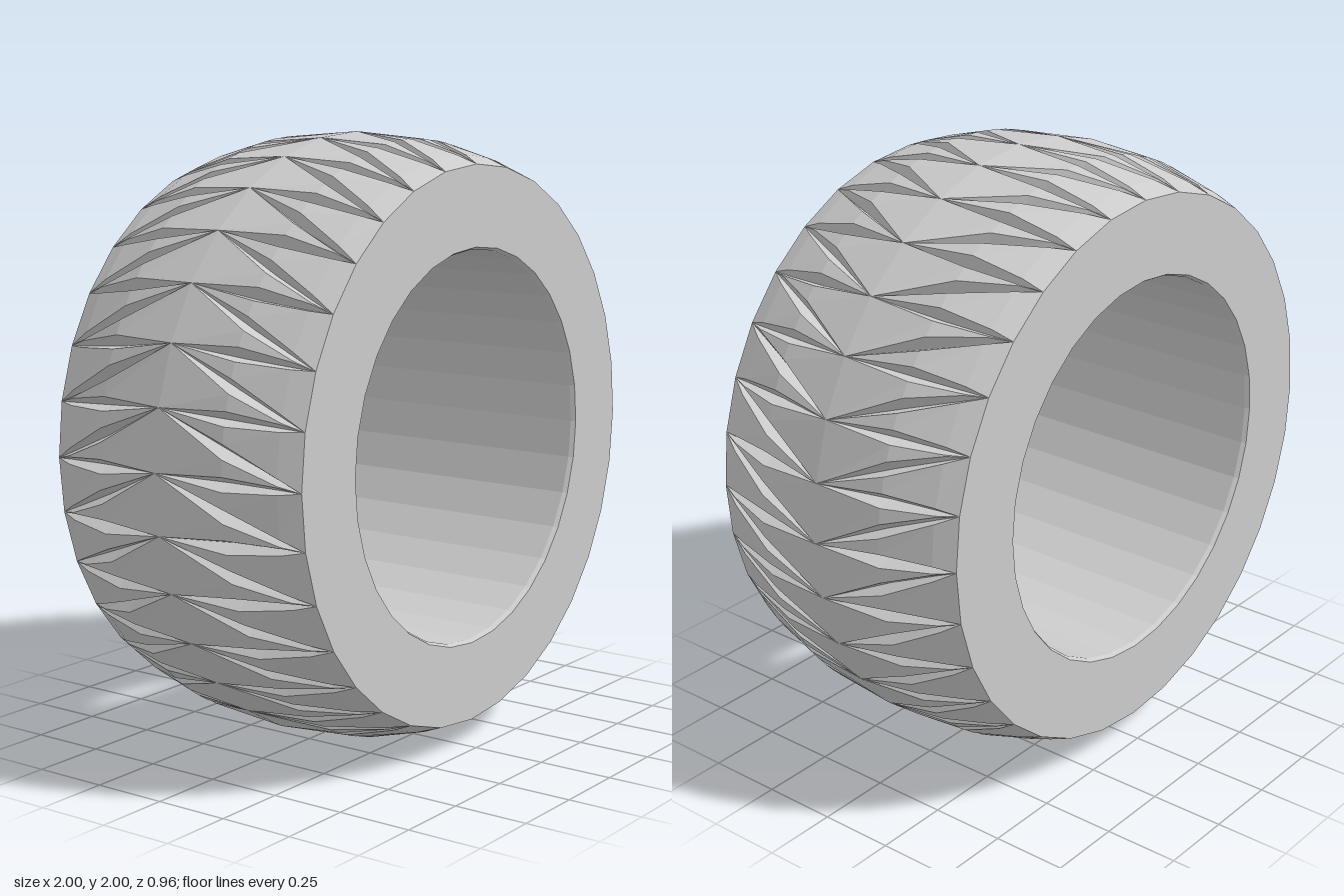
import * as THREE from 'three';

const SECTORS = 32;
const STEP = (Math.PI * 2) / SECTORS;
const HALF_WIDTH = 0.48;
const EDGE_RADIUS = 0.907;
const SKEW = -0.02; // groove tips on the centre line sit slightly off the edge tips

// Half of the crown, centre to shoulder: distance, radius, groove half angle, groove depth
const ROWS = [
  [0, 1.0, 0, 0],
  [0.24, 0.98, 0.023, 0.045],
  [0.41, 0.934, 0.012, 0.022],
  [HALF_WIDTH, EDGE_RADIUS, 0, 0],
];

// One ring of tread points: every sector has two V grooves (left lip, bottom, right lip)
function treadRing([z, radius, half, depth], side) {
  const t = z / HALF_WIDTH;
  const ring = [];
  for (let k = 0; k < SECTORS; k++) {
    for (const lean of [0, 1]) {
      const mid = STEP * (k + lean * t) + SKEW * (1 - t);
      for (const lip of [-1, 0, 1]) {
        const a = mid + lip * half;
        const r = radius - (lip === 0 ? depth : 0);
        ring.push(new THREE.Vector3(Math.cos(a) * r, Math.sin(a) * r, z * side));
      }
    }
  }
  return ring;
}

// Crown with zigzag grooves meeting on the centre line and at both shoulders
function treadGeometry() {
  const rings = [
    ...ROWS.slice(1).reverse().map((row) => treadRing(row, -1)),
    ...ROWS.map((row) => treadRing(row, 1)),
  ];
  const positions = [];
  const addTriangle = (a, b, c) => {
    if (new THREE.Triangle(a, b, c).getArea() < 1e-7) return;
    for (const p of [a, b, c]) positions.push(p.x, p.y, p.z);
  };
  for (let i = 0; i < rings.length - 1; i++) {
    const near = rings[i];
    const far = rings[i + 1];
    for (let j = 0; j < near.length; j++) {
      const n = (j + 1) % near.length;
      addTriangle(near[j], near[n], far[j]);
      addTriangle(near[n], far[n], far[j]);
    }
  }
  const geometry = new THREE.BufferGeometry();
  geometry.setAttribute('position', new THREE.Float32BufferAttribute(positions, 3));
  geometry.computeVertexNormals();
  return geometry;
}

// Flat sidewalls and the bore, with a small chamfer at each mouth
function bodyGeometry() {
  const profile = [
    [EDGE_RADIUS, HALF_WIDTH],
    [0.646, HALF_WIDTH],
    [0.638, 0.465],
    [0.638, -0.465],
    [0.646, -HALF_WIDTH],
    [EDGE_RADIUS, -HALF_WIDTH],
  ].map(([r, z]) => new THREE.Vector2(r, z));
  return new THREE.LatheGeometry(profile, SECTORS).rotateX(Math.PI / 2);
}

export function createModel() {
  const material = new THREE.MeshStandardMaterial({ color: 0xcccccc, flatShading: true });
  const tire = new THREE.Group();
  tire.name = 'tire';

  const tread = new THREE.Mesh(treadGeometry(), material);
  tread.name = 'tread';
  const body = new THREE.Mesh(bodyGeometry(), material);
  body.name = 'sidewallsAndBore';

  tire.add(tread, body);
  tire.position.y = 1;

  const model = new THREE.Group();
  model.name = 'wheelTire';
  model.add(tire);
  return model;
}
